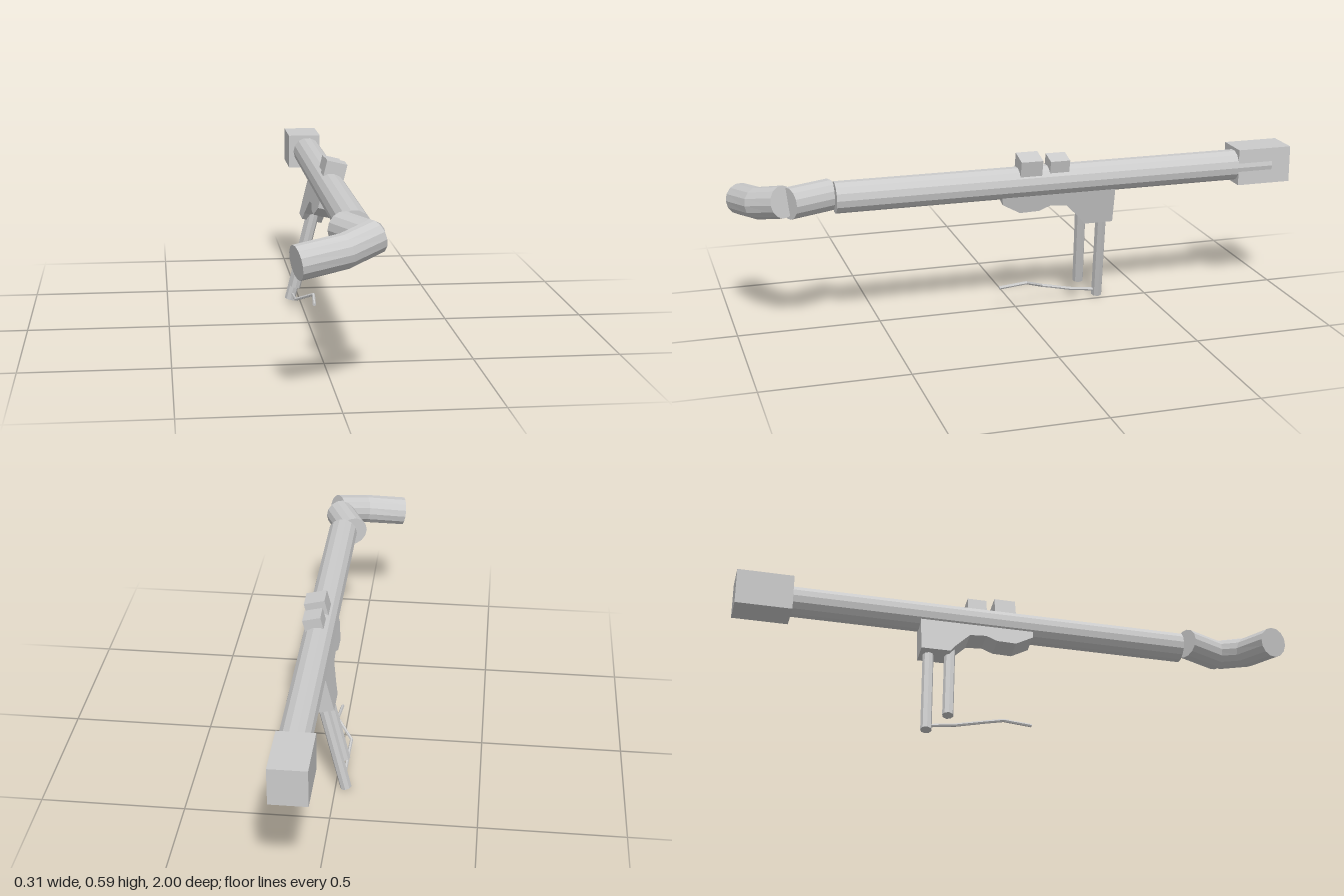
import * as THREE from 'three';

const V = (p) => new THREE.Vector3(...p);
const material = new THREE.MeshStandardMaterial({ color: 0xcccccc, flatShading: true });

// Capped faceted pipe through a few points, with mitred joints
function pipe(path, radius, sides) {
  const pts = path.map(V);
  const positions = [], index = [];
  const first = pts[1].clone().sub(pts[0]).normalize();
  const ref = Math.abs(first.y) > 0.8 ? V([0, 0, 1]) : V([0, 1, 0]);
  pts.forEach((p, i) => {
    const t = new THREE.Vector3();
    if (i > 0) t.add(p.clone().sub(pts[i - 1]).normalize());
    if (i < pts.length - 1) t.add(pts[i + 1].clone().sub(p).normalize());
    t.normalize();
    const side = ref.clone().cross(t).normalize();
    const up = t.clone().cross(side);
    for (let j = 0; j < sides; j++) {
      const a = (j / sides) * Math.PI * 2;
      const q = p.clone().addScaledVector(side, radius * Math.cos(a)).addScaledVector(up, radius * Math.sin(a));
      positions.push(q.x, q.y, q.z);
    }
  });
  const last = (pts.length - 1) * sides, c0 = pts.length * sides;
  for (const p of [pts[0], pts[pts.length - 1]]) positions.push(p.x, p.y, p.z);
  for (let j = 0; j < sides; j++) {
    const k = (j + 1) % sides;
    for (let i = 0; i < last; i += sides) {
      index.push(i + j, i + k, i + sides + k, i + j, i + sides + k, i + sides + j);
    }
    index.push(c0, k, j, c0 + 1, last + j, last + k);
  }
  const g = new THREE.BufferGeometry();
  g.setAttribute('position', new THREE.Float32BufferAttribute(positions, 3));
  g.setIndex(index);
  g.computeVertexNormals();
  return g;
}

function add(parent, name, geometry, x = 0, y = 0, z = 0) {
  const mesh = new THREE.Mesh(geometry, material);
  mesh.name = name;
  mesh.position.set(x, y, z);
  parent.add(mesh);
  return mesh;
}

export function createModel() {
  const model = new THREE.Group();
  model.name = 'launcherTube';
  const cx = 0.078, cy = 0.495;

  // Long barrel with a square block at the rear
  add(model, 'barrel', pipe([[cx, cy, -0.93], [cx, cy, 0.66]], 0.055, 14));
  add(model, 'rearBlock', new THREE.BoxGeometry(0.125, 0.13, 0.2), 0.067, 0.495, -0.9);

  // Crooked front end: a loose collar and a bent nozzle
  add(model, 'collar', pipe([[0.038, cy, 0.67], [0.105, cy, 0.82]], 0.055, 14));
  add(model, 'bentNozzle', pipe([[0.115, 0.505, 0.838], [0.015, 0.478, 0.907], [-0.134, 0.455, 0.948]], 0.055, 14));

  // Fittings are rolled together about the barrel axis
  const fittings = new THREE.Group();
  fittings.name = 'fittings';
  fittings.position.set(cx, cy, 0);
  fittings.rotation.z = -0.24;
  model.add(fittings);

  // Two sight blocks on top
  add(fittings, 'frontSight', new THREE.BoxGeometry(0.074, 0.06, 0.078), 0, 0.067, -0.021);
  add(fittings, 'rearSight', new THREE.BoxGeometry(0.064, 0.052, 0.07), 0, 0.062, -0.125);

  // Trigger housing, its side profile extruded across the width (shape x = -z)
  const profile = [
    [-0.078, -0.03], [-0.075, -0.066], [-0.01, -0.104], [0.06, -0.102], [0.1, -0.084], [0.16, -0.089],
    [0.215, -0.146], [0.235, -0.172], [0.34, -0.172], [0.338, -0.03],
  ];
  const housing = new THREE.ExtrudeGeometry(
    new THREE.Shape(profile.map(([x, y]) => new THREE.Vector2(x, y))), { depth: 0.074, bevelEnabled: false });
  housing.translate(0, 0, -0.037);
  housing.rotateY(Math.PI / 2);
  add(fittings, 'triggerHousing', housing);

  // Two slanted legs below the housing
  add(fittings, 'frontLeg', pipe([[0, -0.13, -0.228], [0, -0.432, -0.246]], 0.02, 8));
  add(fittings, 'rearLeg', pipe([[0.004, -0.14, -0.306], [0.004, -0.5, -0.324]], 0.02, 8));

  // Thin crooked wire running forward from the rear leg
  add(model, 'wire', pipe([
    [-0.028, 0.028, -0.32], [-0.03, 0.04, -0.22], [-0.035, 0.062, -0.11],
    [0.022, 0.099, -0.035], [0.015, 0.087, 0.065],
  ], 0.006, 6));

  return model;
}
